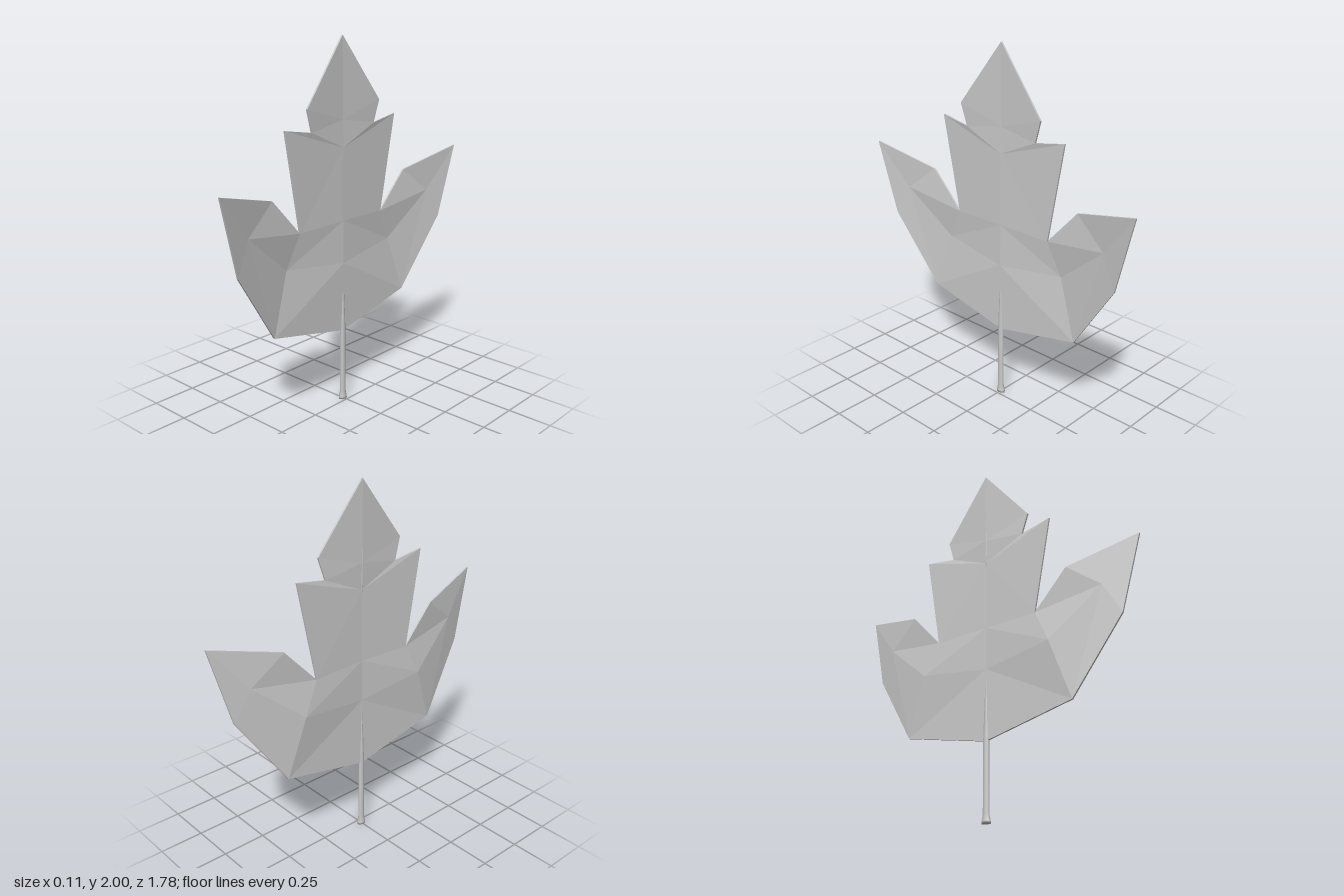
import * as THREE from 'three';

// Half of the leaf: [z, y, x]
const P = [
  // outline, from the stem round to the tip
  [0, 0.41, -0.03], [0.51, 0.52, -0.031], [0.78, 0.92, 0.022], [0.89, 1.335, 0.046],
  [0.505, 1.235, -0.03], [0.315, 1.03, -0.036], [0.415, 1.565, -0.028],
  [0.235, 1.535, -0.022], [0.272, 1.655, -0.016], [0, 2, -0.03],
  // midrib
  [0, 1.575, -0.03], [0, 1.43, -0.026], [0, 1.035, -0.028], [0, 0.8, -0.026],
  // folds inside the side lobe
  [0.4, 0.85, -0.052], [0.69, 1.09, -0.002],
];
const FACES = [
  [0, 1, 13], [1, 14, 13], [13, 14, 12], [14, 5, 12], [1, 15, 14], [1, 2, 15],
  [2, 3, 15], [15, 3, 4], [15, 4, 5], [14, 15, 5], [12, 5, 11], [5, 6, 11],
  [11, 6, 7], [11, 7, 10], [10, 7, 8], [10, 8, 9],
];
const RIM = 9; // outline edges per half
const HALF_THICKNESS = 0.005;

function bladeGeometry() {
  const pos = [];
  for (const side of [1, -1]) {
    const pt = (i, layer) => [P[i][2] + layer * HALF_THICKNESS, P[i][1], side * P[i][0]];
    const tri = (a, b, c, flip) => pos.push(...a, ...(flip ? [...c, ...b] : [...b, ...c]));
    // both faces of the blade
    for (const [a, b, c] of FACES) {
      const [A, B, C] = [P[a], P[b], P[c]];
      const area = (B[1] - A[1]) * (C[0] - A[0]) - (B[0] - A[0]) * (C[1] - A[1]);
      for (const layer of [1, -1]) {
        tri(pt(a, layer), pt(b, layer), pt(c, layer), area * side * layer < 0);
      }
    }
    // thin edge joining them
    for (let i = 0; i < RIM; i++) {
      const a = pt(i, 1), b = pt(i + 1, 1), c = pt(i + 1, -1), d = pt(i, -1);
      tri(a, c, b, side < 0);
      tri(a, d, c, side < 0);
    }
  }
  const geo = new THREE.BufferGeometry();
  geo.setAttribute('position', new THREE.Float32BufferAttribute(pos, 3));
  geo.computeVertexNormals();
  return geo;
}

export function createModel() {
  const leaf = new THREE.Group();
  leaf.name = 'leaf';
  const flat = new THREE.MeshStandardMaterial({ color: 0xcccccc, flatShading: true, side: THREE.DoubleSide });
  const smooth = new THREE.MeshStandardMaterial({ color: 0xcccccc });

  const add = (name, geo, mat, x = 0) => {
    const mesh = new THREE.Mesh(geo, mat);
    mesh.name = name;
    mesh.position.x = x;
    leaf.add(mesh);
    return mesh;
  };
  const lathe = (pts) => new THREE.LatheGeometry(pts.map(([r, y]) => new THREE.Vector2(r, y)), 8);

  add('blade', bladeGeometry(), flat);

  // stalk with a flared foot, tapering into the blade
  const stalk = add('stalk', lathe([
    [0, 0.004], [0.027, 0], [0.026, 0.012], [0.019, 0.045], [0.018, 0.41], [0.009, 0.65], [0.004, 0.8], [0, 0.81],
  ]), smooth, -0.028);
  stalk.scale.x = 0.7;

  // slim rib running up to the tip
  add('upperRib', lathe([[0, 1.41], [0.005, 1.46], [0.0055, 1.58], [0.003, 1.9], [0, 1.95]]), smooth, -0.031);

  return leaf;
}
